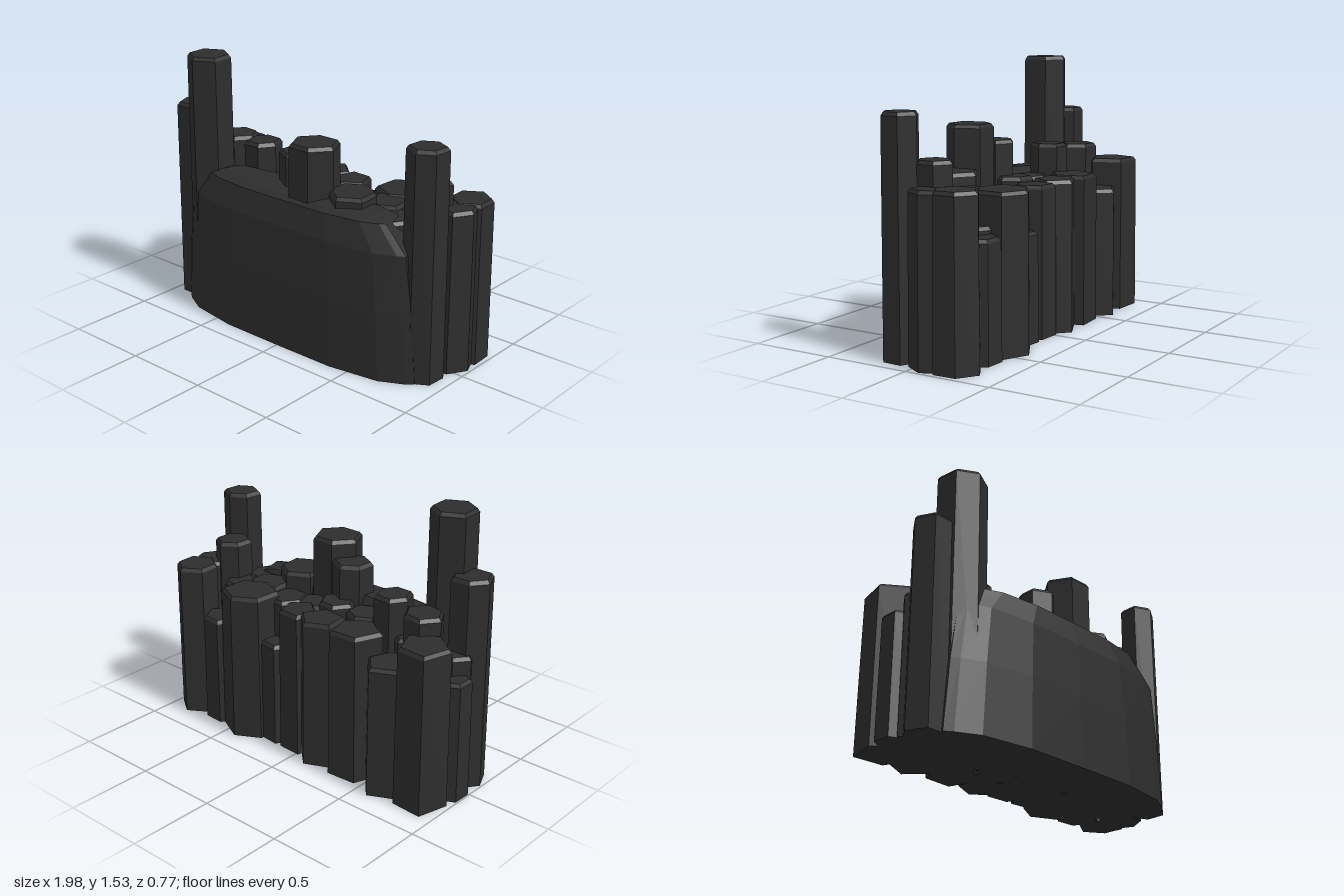
import * as THREE from 'three';

const rock = new THREE.MeshStandardMaterial({ color: 0x2d2d2d, flatShading: true });

// x, z, radius, height
const COLUMNS = [
  // back row
  [-0.83, -0.22, 0.15, 0.92], [-0.61, -0.235, 0.132, 0.76], [-0.37, -0.21, 0.145, 0.87],
  [-0.13, -0.225, 0.13, 0.87], [0.06, -0.2, 0.115, 0.86], [0.23, -0.17, 0.13, 0.62],
  [0.42, -0.22, 0.162, 0.88], [0.65, -0.22, 0.118, 0.66], [0.86, -0.22, 0.128, 0.93],
  // middle row
  [0.865, -0.08, 0.122, 0.925], [-0.9, -0.06, 0.1, 0.7], [-0.7, -0.06, 0.115, 1.01],
  [-0.56, 0.02, 0.11, 0.82], [-0.45, 0, 0.107, 1.03], [-0.25, 0.01, 0.11, 0.86],
  [-0.05, 0, 0.11, 0.88], [0.12, -0.01, 0.11, 0.83], [0.27, -0.07, 0.12, 0.84],
  [0.45, -0.03, 0.12, 0.87], [0.63, -0.07, 0.11, 0.84], [0.75, -0.02, 0.107, 1.055],
  // front row
  [-0.87, 0.12, 0.115, 1.21], [-0.705, 0.17, 0.134, 1.53], [-0.36, 0.13, 0.11, 0.8],
  [-0.06, 0.12, 0.112, 1.08], [0.11, 0.187, 0.141, 1.18], [0.34, 0.14, 0.14, 0.94],
  [0.58, 0.1, 0.125, 0.85], [0.83, 0.14, 0.108, 1.3],
  // low columns between the rows
  [-0.51, -0.1, 0.1, 0.72], [-0.22, -0.09, 0.1, 0.78], [-0.03, -0.11, 0.1, 0.76],
  [0.55, -0.15, 0.1, 0.7], [-0.85, 0.03, 0.1, 0.8],
];

// Tapered prism with a bevelled top and slightly uneven corners
function column([x, z, r, h], i) {
  const sides = z < -0.19 && x < 0.1 ? 5 : 6;
  const bevel = 0.02;
  const profile = [[0, 0], [r * 1.05, 0], [r, h - bevel], [r - bevel * 0.8, h], [0, h]]
    .map(([px, py]) => new THREE.Vector2(px, py));
  const geo = new THREE.LatheGeometry(profile, sides);
  const p = geo.attributes.position;
  for (let k = 0; k < p.count; k++) {
    const a = Math.atan2(p.getX(k), p.getZ(k));
    const s = 1 + 0.05 * Math.sin(2 * a + i * 1.7);
    p.setX(k, p.getX(k) * s);
    p.setZ(k, p.getZ(k) * s);
  }
  // neighbours are turned alternately
  geo.rotateY((i % 2) * 0.45);
  geo.computeVertexNormals();
  const mesh = new THREE.Mesh(geo, rock);
  mesh.position.set(x, 0, z);
  mesh.name = 'rockColumn' + (i + 1);
  return mesh;
}

// Broad bowed boulder, lofted through rings: y, half width, bow z, tip z, back z
function boulder() {
  const rings = [
    [0, 0.86, 0.388, 0.24, 0.05], [0.4, 0.83, 0.38, 0.245, 0.06],
    [0.72, 0.79, 0.368, 0.25, 0.07], [0.86, 0.65, 0.335, 0.24, 0.09],
    [0.88, 0.57, 0.3, 0.22, 0.1], [0.9, 0.3, 0.2, 0.16, 0.11],
  ];
  const us = [-1, -0.95, -0.8, -0.45, 0, 0.45, 0.8, 0.95, 1];
  const pos = [], index = [];
  const n = us.length + 2;
  for (const [y, w, bow, tip, back] of rings) {
    for (const u of us) {
      pos.push(u * w, y, tip + (bow - tip) * (1 - Math.abs(u) ** 5));
    }
    pos.push(w * 0.93, y, back, -w * 0.93, y, back);
  }
  for (let j = 0; j < rings.length - 1; j++) {
    for (let k = 0; k < n; k++) {
      const a = j * n + k, b = j * n + (k + 1) % n;
      index.push(a, b, b + n, a, b + n, a + n);
    }
  }
  // close the underside and crown
  const top = (rings.length - 1) * n;
  for (let k = 1; k < n - 1; k++) {
    index.push(0, k + 1, k, top, top + k, top + k + 1);
  }
  const geo = new THREE.BufferGeometry();
  geo.setAttribute('position', new THREE.Float32BufferAttribute(pos, 3));
  geo.setIndex(index);
  geo.computeVertexNormals();
  const mesh = new THREE.Mesh(geo, rock);
  mesh.name = 'frontBoulder';
  return mesh;
}

export function createModel() {
  const group = new THREE.Group();
  group.name = 'basaltOutcrop';
  const columns = new THREE.Group();
  columns.name = 'columns';
  COLUMNS.forEach((c, i) => columns.add(column(c, i)));
  group.add(columns, boulder());
  return group;
}
